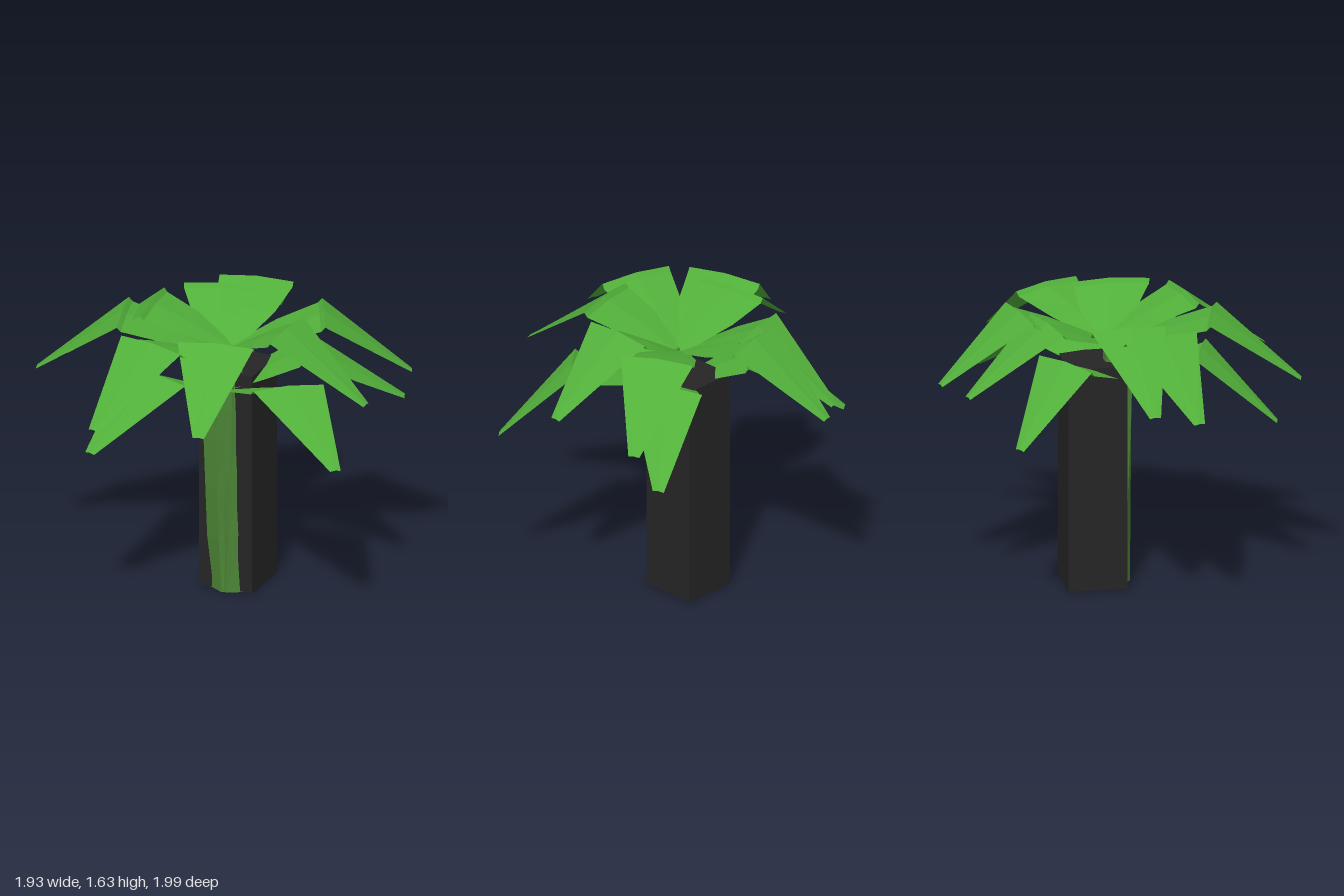
import * as THREE from 'three';

const leafGreen = new THREE.MeshStandardMaterial({ color: 0x52b03a, flatShading: true, side: THREE.DoubleSide });
leafGreen.name = 'leaf green';
const stemGreen = new THREE.MeshStandardMaterial({ color: 0x4c8536, flatShading: true });
stemGreen.name = 'stem green';
const charcoal = new THREE.MeshStandardMaterial({ color: 0x252525, flatShading: true });
charcoal.name = 'charcoal';

// Folded leaf: rises from the crown centre to a wide ridge, then drops to a blunt tip.
// a and b are the ridge corners and t the tip, all as [x, z].
function leaf([cx, cz], baseY, [ax, az, bx, bz, tx, tz]) {
  const c = new THREE.Vector2(cx, cz);
  const a = new THREE.Vector2(ax, az), b = new THREE.Vector2(bx, bz), t = new THREE.Vector2(tx, tz);
  const mid = a.clone().lerp(b, 0.5);
  const half = b.clone().sub(a).multiplyScalar(0.5);
  const row = (centre, width, y, lift) => [-1, 0, 1].map((s) => {
    const p = centre.clone().addScaledVector(half, s * width);
    return [p.x, y + (s === 0 ? lift : 0), p.y];
  });
  const rows = [
    row(c, 0.14, baseY, 0),
    row(c.clone().lerp(mid, 0.55), 0.78, baseY + 0.11, 0.01),
    row(c.clone().lerp(mid, 0.96), 1, baseY + 0.18, 0.015),
    row(mid, 1, baseY + 0.205, 0.015),
    row(t, 0.15, baseY - 0.15, 0.005),
  ];
  const index = [];
  for (let r = 0; r < rows.length - 1; r++) {
    for (let s = 0; s < 2; s++) {
      const p = r * 3 + s;
      index.push(p, p + 1, p + 3, p + 1, p + 4, p + 3);
    }
  }
  // Keep the upper side as the front
  const out = t.clone().sub(c);
  if (half.x * out.y - half.y * out.x > 0) index.reverse();
  const geo = new THREE.BufferGeometry();
  geo.setAttribute('position', new THREE.Float32BufferAttribute(rows.flat(2), 3));
  geo.setIndex(index);
  geo.computeVertexNormals();
  const mesh = new THREE.Mesh(geo, leafGreen);
  mesh.name = 'leaf';
  return mesh;
}

// Six-sided stalk sheared between two centres
function stalk(name, [x0, z0, r0], [x1, z1, r1], h, twist) {
  const geo = new THREE.CylinderGeometry(1, 1, h, 6, 4);
  geo.translate(0, h / 2, 0);
  const pos = geo.attributes.position;
  for (let i = 0; i < pos.count; i++) {
    const y = pos.getY(i), k = y / h;
    const r = THREE.MathUtils.lerp(r0, r1, k);
    const x = pos.getX(i), z = pos.getZ(i), s = Math.sin(twist * k), c = Math.cos(twist * k);
    pos.setXYZ(i,
      THREE.MathUtils.lerp(x0, x1, k) + r * (x * c + z * s), y,
      THREE.MathUtils.lerp(z0, z1, k) + r * (z * c - x * s));
  }
  geo.computeVertexNormals();
  const mesh = new THREE.Mesh(geo, stemGreen);
  mesh.name = name;
  return mesh;
}

// Ridge corner, ridge corner, tip for every leaf
const crowns = [
  { name: 'topCrown', centre: [0.08, -0.04], y: 1.41, leaves: [
    [0.46, -0.14, 0.45, 0.28, 0.94, 0.08],
    [-0.21, -0.49, 0.2, -0.57, -0.1, -0.99],
    [-0.41, -0.2, -0.36, 0.22, -0.86, 0.07],
    [-0.02, 0.47, 0.4, 0.38, 0.3, 0.89],
  ] },
  { name: 'middleCrown', centre: [0.03, 0], y: 1.39, leaves: [
    [-0.36, 0.47, 0.05, 0.58, -0.29, 0.99],
    [-0.55, -0.04, -0.43, 0.38, -0.95, 0.3],
    [-0.36, -0.35, 0.04, -0.46, -0.28, -0.87],
    [0.42, -0.47, 0.61, -0.1, 0.94, -0.52],
  ] },
  { name: 'lowerCrown', centre: [0.05, 0.05], y: 1.18, leaves: [
    [0.42, 0.43, 0.73, 0.18, 0.95, 0.5],
    [-0.36, 0.41, 0.05, 0.52, -0.38, 0.84],
    [0.34, -0.46, 0.5, -0.05, 0.85, -0.62],
    [-0.4, -0.2, -0.06, -0.43, -0.6, -0.64],
  ] },
];

export function createModel() {
  const model = new THREE.Group();
  model.name = 'leafyPlant';

  // Square post behind the stalks
  const post = new THREE.Mesh(new THREE.BoxGeometry(0.32, 1.29, 0.33), charcoal);
  post.name = 'post';
  post.position.set(0.08, 0.65, -0.105);
  model.add(post);

  // Crossing stalks
  model.add(stalk('tallStalk', [0.1, -0.02, 0.12], [0.1, 0.02, 0.06], 1.42, 0.5));
  model.add(stalk('middleStalk', [0.08, 0, 0.1], [0.05, 0, 0.05], 1.4, -0.4));
  model.add(stalk('shortStalk', [0.07, -0.01, 0.11], [-0.01, 0.04, 0.065], 1.21, 0.4));

  for (const { name, centre, y, leaves } of crowns) {
    const crown = new THREE.Group();
    crown.name = name;
    for (const l of leaves) crown.add(leaf(centre, y, l));
    model.add(crown);
  }
  return model;
}
